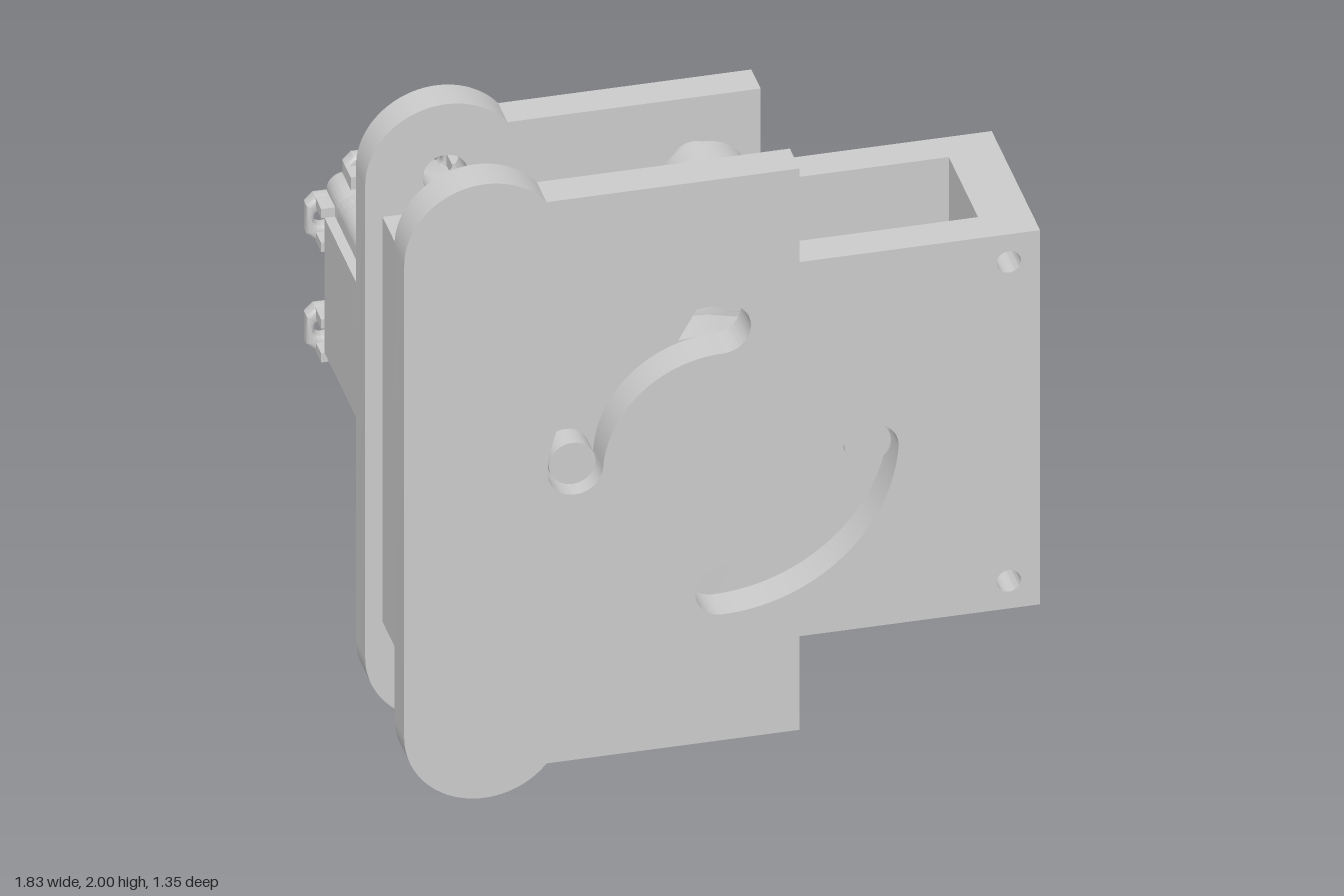
import * as THREE from 'three';
import { toCreasedNormals } from 'three/addons/utils/BufferGeometryUtils.js';

const mat = new THREE.MeshStandardMaterial({ color: 0xcccccc });
const PI = Math.PI;

function add(parent, name, geo) {
  const mesh = new THREE.Mesh(toCreasedNormals(geo, 0.6), mat);
  mesh.name = name;
  parent.add(mesh);
  return mesh;
}

// Extrude a shape from z0 to z1, with an optional inset bevel
function slab(shape, z0, z1, bevel = 0) {
  return new THREE.ExtrudeGeometry(shape, {
    depth: z1 - z0 - 2 * bevel, curveSegments: 20, bevelEnabled: bevel > 0,
    bevelSize: bevel, bevelThickness: bevel, bevelOffset: -bevel, bevelSegments: 3,
  }).translate(0, 0, z0 + bevel);
}

const box = (x0, x1, y0, y1, z0, z1) =>
  new THREE.BoxGeometry(x1 - x0, y1 - y0, z1 - z0).translate((x0 + x1) / 2, (y0 + y1) / 2, (z0 + z1) / 2);

const rod = (x, y, r, z0, z1) =>
  new THREE.CylinderGeometry(r, r, z1 - z0, 32).rotateX(PI / 2).translate(x, y, (z0 + z1) / 2);

const circle = (x, y, r) => new THREE.Path().absarc(x, y, r, 0, 2 * PI, false);

// Bar around two end circles (radius r, at +-d) and a centre circle (radius R)
function barShape(d, r, R) {
  const p = Math.acos((R - r) / d), s = new THREE.Shape();
  s.absarc(d, 0, r, -p, p, false);
  s.absarc(0, 0, R, p, PI - p, false);
  s.absarc(-d, 0, r, PI - p, PI + p, false);
  s.absarc(0, 0, R, PI + p, 2 * PI - p, false);
  return s;
}

// Curved slot about the wheel centre
function arcSlot(a0, a1) {
  const m = 0.425, w = 0.08, p = new THREE.Path();
  p.absarc(0, 1, m + w, a0, a1, false);
  p.absarc(m * Math.cos(a1), 1 + m * Math.sin(a1), w, a1, a1 + PI, false);
  p.absarc(0, 1, m - w, a1, a0, true);
  p.absarc(m * Math.cos(a0), 1 + m * Math.sin(a0), w, a0 + PI, a0 + 2 * PI, false);
  return p;
}

// Side plate outline with two round lobes
function plateShape() {
  const s = new THREE.Shape(), a = 0.682;
  s.moveTo(0.22, 0.085);
  for (const [x, y] of [[0.22, 0.39], [0.91, 0.39], [0.91, 1.61], [0.22, 1.61], [0.22, 1.915]]) s.lineTo(x, y);
  s.absarc(-0.685, 1.77, 0.23, a, PI, false);
  s.absarc(-0.685, 0.23, 0.23, PI, 2 * PI - a, false);
  s.closePath();
  return s;
}

function roundedRect(x0, x1, y0, y1, r) {
  const s = new THREE.Shape();
  s.absarc(x1 - r, y0 + r, r, -PI / 2, 0, false);
  s.absarc(x1 - r, y1 - r, r, 0, PI / 2, false);
  s.absarc(x0 + r, y1 - r, r, PI / 2, PI, false);
  s.absarc(x0 + r, y0 + r, r, PI, 1.5 * PI, false);
  return s;
}

function rectHole(x0, x1, y0, y1) {
  return new THREE.Path().moveTo(x0, y0).lineTo(x0, y1).lineTo(x1, y1).lineTo(x1, y0).closePath();
}

function createHousing() {
  const g = new THREE.Group();
  g.name = 'housing';
  const front = plateShape();
  front.holes.push(arcSlot(PI / 2, PI - 0.07), arcSlot(1.5 * PI, 2 * PI - 0.07));
  for (const y of [0.48, 1.52]) front.holes.push(circle(0.82, y, 0.035));
  add(g, 'frontPlate', slab(front, 0.565, 0.675));
  const back = plateShape();
  for (const y of [0.23, 1.77]) back.holes.push(circle(-0.685, y, 0.065));
  add(g, 'backPlate', slab(back, 0.13, 0.235));
  add(g, 'endWall', box(0.76, 0.91, 0.39, 1.61, 0.235, 0.565));
  add(g, 'sideWall', box(-0.865, -0.77, 0.34, 1.66, 0.235, 0.565));
  return g;
}

function createLinkage() {
  const g = new THREE.Group();
  g.name = 'linkage';
  g.position.y = 1;
  const bar = add(g, 'crankBar', slab(barShape(0.427, 0.2, 0.27), 0.34, 0.45));
  bar.rotation.z = -0.07;

  // Conical hub, trimmed to the width of the bar
  const profile = [[0, 0.12], [0.24, 0.12], [0.24, 0.25], [0.33, 0.34], [0, 0.34]];
  const cone = new THREE.LatheGeometry(profile.map(([r, y]) => new THREE.Vector2(r, y)), 64);
  cone.rotateX(PI / 2);
  const p = cone.attributes.position;
  for (let i = 0; i < p.count; i++) p.setY(i, THREE.MathUtils.clamp(p.getY(i), -0.27, 0.27));
  cone.computeVertexNormals();
  add(g, 'crankHub', cone).rotation.z = -0.07;

  // Two links, half a turn apart
  for (let i = 0; i < 2; i++) {
    const half = new THREE.Group();
    half.name = i ? 'lowerLink' : 'upperLink';
    half.rotation.z = i * PI;
    const a = new THREE.Vector2(-0.424, 0.03), b = new THREE.Vector2(0, 0.775);
    const link = add(half, 'linkArm', slab(barShape(a.distanceTo(b) / 2, 0.13, 0.13), 0.452, 0.563));
    link.position.set((a.x + b.x) / 2, (a.y + b.y) / 2, 0);
    link.rotation.z = Math.atan2(b.y - a.y, b.x - a.x);
    add(half, 'slotPin', rod(a.x, a.y, 0.067, 0.4, 0.64));
    add(half, 'outputPin', rod(b.x, b.y, 0.067, 0.345, 0.46));
    g.add(half);
  }
  return g;
}

// Mounting tab: pierced outer lug over a pair of posts
function createTab() {
  const g = new THREE.Group();
  g.name = 'mountingTab';
  const s = new THREE.Shape();
  s.moveTo(-0.07, -0.03).lineTo(0.07, -0.03).lineTo(0.07, 0.045).lineTo(0.045, 0.07);
  s.lineTo(-0.045, 0.07).lineTo(-0.07, 0.045).closePath();
  s.holes.push(circle(0, 0.022, 0.027));
  add(g, 'lug', slab(s, 0, 0.05, 0.012));
  for (const x of [-1, 1]) add(g, 'post', box(x * 0.055 - 0.015, x * 0.055 + 0.015, -0.03, 0.045, 0.04, 0.108));
  return g;
}

function createServo() {
  const g = new THREE.Group();
  g.name = 'servo';
  const outline = () => roundedRect(-0.815, 0.26, 0.71, 1.3, 0.05);
  add(g, 'body', slab(outline(), -0.5, 0.128, 0.03));

  // Rear cover with two windows and screw holes
  const cover = outline();
  for (const s of [-1, 1]) {
    const y = 1 + s * 0.12;
    cover.holes.push(rectHole(-0.43, -0.29, y - 0.105, y + 0.105));
    for (const x of [-0.5, -0.16, 0.15]) cover.holes.push(circle(x, 1 + s * 0.19, 0.025));
    add(g, 'connector', box(-0.74, -0.585, 1 + s * 0.155 - 0.075, 1 + s * 0.155 + 0.075, -0.675, -0.59));
  }
  add(g, 'rearCover', slab(cover, -0.605, -0.42, 0.012));
  add(g, 'endPanel', box(-0.845, -0.8, 0.78, 1.22, -0.5, 0.01));

  // Rear bearing boss with a dished face
  const boss = [[0, 0.03], [0.03, 0.03], [0.03, 0.055], [0.085, 0.055], [0.09, 0.07], [0.115, 0.07], [0.125, 0.06], [0.125, 0]];
  const bossGeo = new THREE.LatheGeometry(boss.map(([r, y]) => new THREE.Vector2(r, y)).reverse(), 40);
  add(g, 'rearBoss', bossGeo.rotateX(-PI / 2).translate(0, 1, -0.605));

  // Rows of tabs at both ends of the body
  for (const front of [false, true]) {
    const place = (x, y, turn) => {
      const tab = createTab();
      tab.position.set(x, y, front ? 0.125 : -0.605);
      tab.rotation.set(0, front ? PI : 0, front ? -turn : turn);
      g.add(tab);
    };
    for (let i = 0; i < 4; i++) {
      place(-0.7 + i * 0.18, 1.295, 0);
      place(-0.7 + i * 0.18, 0.705, PI);
    }
    for (const y of [0.82, 1.18]) place(-0.81, y, PI / 2);
  }
  return g;
}

export function createModel() {
  const model = new THREE.Group();
  model.name = 'servoLinkageUnit';
  model.add(createHousing(), createLinkage(), createServo());
  return model;
}
